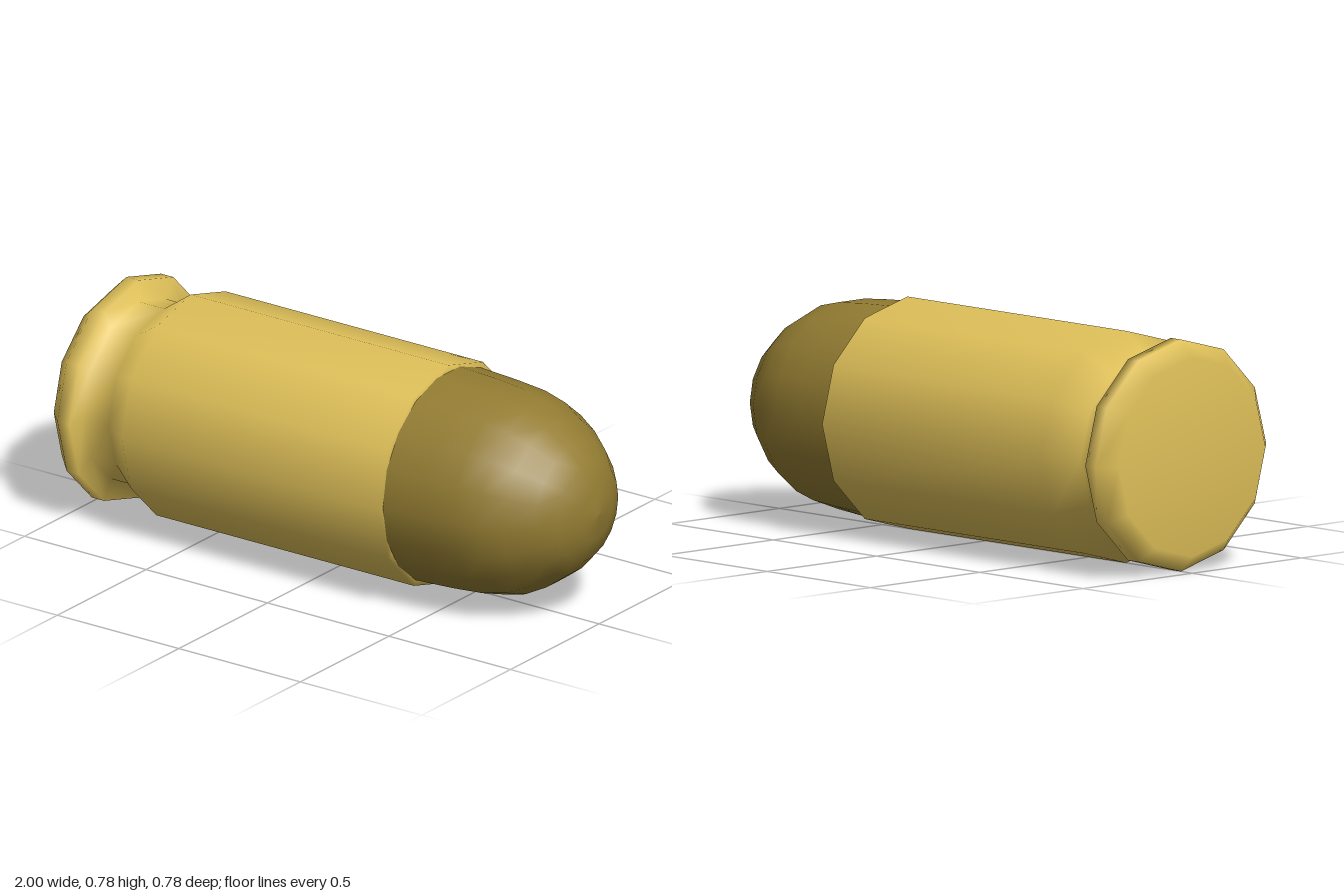
import * as THREE from 'three';

const caseBrass = new THREE.MeshStandardMaterial({ color: 0xdfc059 });
caseBrass.name = 'case brass';
const tipBronze = new THREE.MeshStandardMaterial({ color: 0x937c32 });
tipBronze.name = 'tip bronze';

const AXIS_HEIGHT = 0.39;

// Turns a profile of [position along x, radius] around the long axis
function turned(name, profile, sides, material) {
  const points = profile.map(([x, r]) => new THREE.Vector2(r, x));
  const geometry = new THREE.LatheGeometry(points, sides);
  geometry.rotateZ(-Math.PI / 2);
  const mesh = new THREE.Mesh(geometry, material);
  mesh.name = name;
  mesh.position.y = AXIS_HEIGHT;
  return mesh;
}

export function createModel() {
  const model = new THREE.Group();
  model.name = 'cartridge';

  // Base, bevelled rim, extractor groove, straight wall and mouth
  model.add(turned('case', [
    [-1, 0], [-1, 0.335], [-0.945, 0.39], [-0.895, 0.39],
    [-0.895, 0.313], [-0.79, 0.313], [-0.68, 0.39],
    [0.38, 0.39], [0.38, 0.35],
  ], 12, caseBrass));

  // Rounded tip seated in the mouth
  model.add(turned('tip', [
    [0.36, 0.37], [0.38, 0.37], [0.53, 0.363], [0.65, 0.353], [0.74, 0.332],
    [0.82, 0.29], [0.9, 0.23], [0.955, 0.17], [0.988, 0.09], [1, 0],
  ], 18, tipBronze));

  return model;
}
